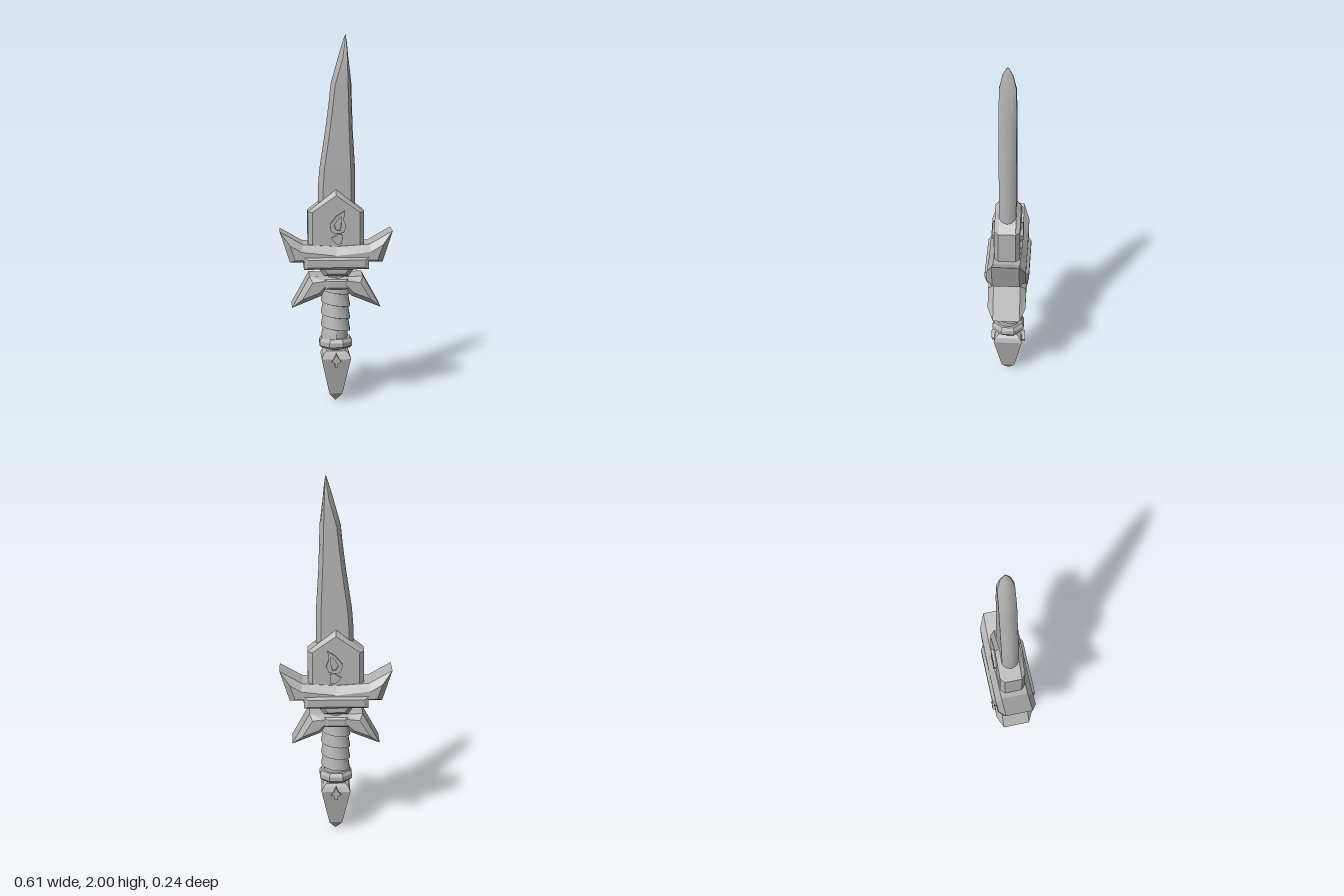
import * as THREE from 'three';
import { toCreasedNormals } from 'three/addons/utils/BufferGeometryUtils.js';
import { ParametricGeometry } from 'three/addons/geometries/ParametricGeometry.js';

// Skin counter-clockwise rings of [x, y, z], listed from +z to -z, with both ends capped
function loft(rings, crease = 0.5) {
  const pos = [];
  const tri = (a, b, c) => pos.push(...a, ...b, ...c);
  for (let i = 0; i < rings.length - 1; i++) {
    const p = rings[i], q = rings[i + 1], n = p.length;
    for (let j = 0; j < n; j++) {
      const k = (j + 1) % n;
      tri(p[j], q[j], q[k]);
      tri(p[j], q[k], p[k]);
    }
  }
  const cap = (ring, flip) => {
    const contour = ring.map(([x, y]) => new THREE.Vector2(x, y));
    for (const [a, b, c] of THREE.ShapeUtils.triangulateShape(contour, [])) {
      if (flip) tri(ring[a], ring[c], ring[b]);
      else tri(ring[a], ring[b], ring[c]);
    }
  };
  cap(rings[0], false);
  cap(rings[rings.length - 1], true);
  const g = new THREE.BufferGeometry();
  g.setAttribute('position', new THREE.Float32BufferAttribute(pos, 3));
  return toCreasedNormals(g, crease);
}

// Slab with bevelled front and back faces
function plate(outer, inner, zOuter, zInner) {
  const at = (pts, z) => pts.map(([x, y]) => [x, y, z]);
  return loft([at(inner, zInner), at(outer, zOuter), at(outer, -zOuter), at(inner, -zInner)], 0.1);
}

// Mirror a right half, listed from bottom to top, into a closed outline
function sym(half) {
  return half.concat(half.filter(p => p[0] > 0).reverse().map(([x, y]) => [-x, y]));
}
const rect = (x, y0, y1) => sym([[x, y0], [x, y1]]);

// Blade: rounded edges on a flat body, leaning towards the tip
function bladeGeometry() {
  const levels = [ // y, left edge, left facet, right facet, right edge, half thickness
    [2.0, 0.050, 0.051, 0.053, 0.054, 0.004],
    [1.96, 0.036, 0.048, 0.056, 0.060, 0.026],
    [1.88, 0.012, 0.036, 0.060, 0.068, 0.044],
    [1.74, -0.027, -0.004, 0.064, 0.085, 0.046],
    [1.65, -0.036, -0.014, 0.066, 0.087, 0.046],
    [1.5, -0.055, -0.032, 0.070, 0.092, 0.046],
    [1.29, -0.087, -0.062, 0.079, 0.105, 0.046],
    [1.18, -0.096, -0.070, 0.081, 0.106, 0.046],
    [1.0, -0.096, -0.070, 0.081, 0.106, 0.046],
  ];
  const arc = [-60, -30, 0, 30, 60].map(THREE.MathUtils.degToRad);
  const rings = levels.map(([y, l, li, ri, r, t]) => {
    const side = (facet, edge, dir) => arc.map(a => [
      facet + (edge - facet) * (Math.cos(a) - 0.5) * 2,
      dir * t * Math.sin(a) / Math.sin(Math.PI / 3), y]);
    return [...side(ri, r, 1), ...side(li, l, -1)];
  });
  return loft(rings, 0.56).rotateX(-Math.PI / 2);
}

// Grip wrap: overlapping spiral band with a sawtooth profile
function wrapGeometry() {
  const turns = 5, pitch = 0.068, top = 0.68;
  const profile = [[0.066, 0], [0.081, 0.004], [0.069, pitch + 0.004]];
  const g = new ParametricGeometry((u, v, target) => {
    const a = u * turns * Math.PI * 2;
    const [r, dy] = profile[Math.round(v * 2)];
    target.set(r * Math.sin(a), top - u * turns * pitch + dy, r * Math.cos(a));
  }, turns * 20, 2);
  return toCreasedNormals(g, 0.5);
}

// Square pommel tapering to a point
function pommelGeometry() {
  const levels = [[0.29, 0.05], [0.276, 0.07], [0.25, 0.08], [0.045, 0.036], [0.02, 0.018], [0, 0.002]];
  return loft(levels.map(([y, r]) => [[r, -r, y], [r, r, y], [-r, r, y], [-r, -r, y]]), 0.2)
    .rotateX(-Math.PI / 2);
}

// Flat raised ornament showing on both faces
function ornament(points, depth, hole) {
  const v = pts => pts.map(([x, y]) => new THREE.Vector2(x, y));
  const shape = new THREE.Shape(v(points));
  if (hole) shape.holes.push(new THREE.Path(v(hole)));
  return new THREE.ExtrudeGeometry(shape, { depth: depth * 2, bevelEnabled: false }).translate(0, 0, -depth);
}

export function createModel() {
  const group = new THREE.Group();
  const metal = new THREE.MeshStandardMaterial({ color: 0xb4b4b4 });
  metal.name = 'grey metal';
  const wrapMetal = metal;
  const add = (name, geometry, material = metal) => {
    const mesh = new THREE.Mesh(geometry, material);
    mesh.name = name;
    group.add(mesh);
    return mesh;
  };

  add('blade', bladeGeometry());

  // Pointed block holding the blade
  add('bladeSocket', plate(
    sym([[0.152, 0.8], [0.152, 1.06], [0, 1.18]]),
    sym([[0.127, 0.82], [0.127, 1.06], [0, 1.15]]), 0.046, 0.069));
  add('flameOrnament', ornament(
    [[-0.012, 0.945], [0.04, 0.95], [0.053, 0.985], [0.04, 1.02], [0.046, 1.07], [0, 1.04], [-0.035, 0.995], [-0.03, 0.96]],
    0.083,
    [[0.0, 0.965], [-0.012, 0.99], [0.008, 1.022], [0.028, 1.04], [0.026, 0.985], [0.018, 0.962]]));
  add('flameBase', ornament(
    [[-0.03, 0.92], [-0.01, 0.9], [0.005, 0.885], [0.03, 0.89], [0.034, 0.94], [0.01, 0.945], [-0.01, 0.93]], 0.08));

  // Upturned crossguard with a bar and collar below it
  add('crossguard', plate(
    sym([[0.25, 0.79], [0.304, 0.957], [0.18, 0.886], [0, 0.874]]),
    sym([[0.222, 0.805], [0.25, 0.887], [0.19, 0.85], [0, 0.828]]), 0.073, 0.104));
  add('crossguardBar', plate(rect(0.175, 0.755, 0.82), rect(0.152, 0.768, 0.808), 0.104, 0.12));
  add('collar', plate(
    sym([[0.065, 0.715], [0.098, 0.76], [0.098, 0.79]]),
    sym([[0.045, 0.73], [0.07, 0.76], [0.07, 0.78]]), 0.085, 0.105));

  // Drooping lower guard with its centre boss
  add('lowerGuard', plate(
    sym([[0, 0.65], [0.055, 0.65], [0.08, 0.605], [0.24, 0.54], [0.145, 0.712], [0.05, 0.708], [0, 0.7]]),
    sym([[0, 0.66], [0.06, 0.66], [0.095, 0.625], [0.185, 0.59], [0.128, 0.682], [0.06, 0.69], [0, 0.685]]),
    0.073, 0.104));
  add('lowerGuardBoss', plate(rect(0.062, 0.645, 0.7), rect(0.045, 0.655, 0.69), 0.1, 0.11));

  // Grip
  add('gripCore', new THREE.CylinderGeometry(0.066, 0.066, 0.42, 20).translate(0, 0.54, 0));
  const wrap = wrapMetal.clone();
  wrap.name = 'grey metal wrap';
  wrap.side = THREE.DoubleSide;
  add('gripWrap', wrapGeometry(), wrap);
  const ring = new THREE.LatheGeometry(
    [[0, 0.305], [0.085, 0.305], [0.096, 0.318], [0.096, 0.342], [0.084, 0.36], [0, 0.36]]
      .map(([r, y]) => new THREE.Vector2(r, y)), 8, Math.PI / 8);
  add('gripRing', toCreasedNormals(ring, 0.1));
  add('pommelNeck', new THREE.CylinderGeometry(0.035, 0.035, 0.04, 12).translate(0, 0.297, 0));

  // Pommel with an arrow ornament on front and back
  add('pommel', pommelGeometry());
  add('pommelOrnament', ornament(
    sym([[0.009, 0.21], [0.009, 0.232], [0.028, 0.236], [0.012, 0.258], [0, 0.282]]), 0.096));

  return group;
}
